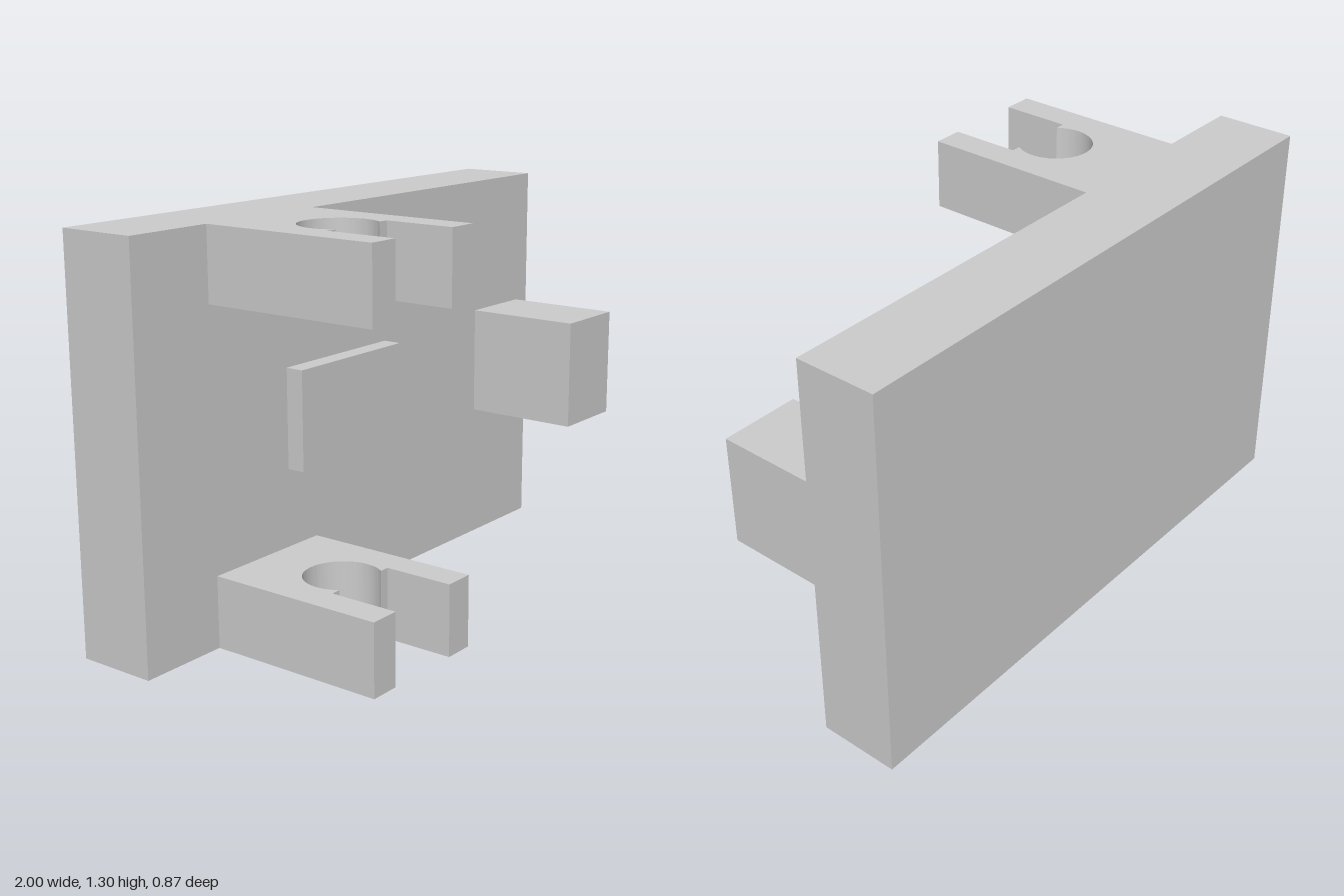
import * as THREE from 'three';
import { toCreasedNormals } from 'three/addons/utils/BufferGeometryUtils.js';

const BACK = -0.433, FACE = -0.167, FRONT = 0.433, HEIGHT = 1.3;

export function createModel() {
  const group = new THREE.Group();
  const material = new THREE.MeshStandardMaterial({ color: 0xcccccc });

  function add(name, geometry) {
    const mesh = new THREE.Mesh(geometry, material);
    mesh.name = name;
    group.add(mesh);
    return mesh;
  }

  // Box given by its limits on each axis
  function box(name, [x0, x1], [y0, y1], [z0, z1]) {
    add(name, new THREE.BoxGeometry(x1 - x0, y1 - y0, z1 - z0))
      .position.set((x0 + x1) / 2, (y0 + y1) / 2, (z0 + z1) / 2);
  }

  box('backPlate', [-1, 1], [0, HEIGHT], [BACK, FACE]);
  box('raisedPad', [-0.367, 0.13], [0.49, 0.817], [FACE, -0.105]);
  box('sideBlock', [0.663, 0.932], [0.468, 0.837], [FACE, 0.233]);

  // Clip outline seen from above (shape y = -z): round seat with a wider slot to the front
  const cx = -0.468, cz = 0.13, radius = 0.122, slotZ = 0.2;
  const outer = 0.233, slot = 0.133;
  const lip = Math.asin((slotZ - cz) / radius);
  const outline = new THREE.Shape();
  outline.moveTo(cx - outer, -FACE);
  outline.lineTo(cx - outer, -FRONT);
  outline.lineTo(cx - slot, -FRONT);
  outline.lineTo(cx - slot, -slotZ);
  outline.absarc(cx, -cz, radius, Math.PI + lip, -lip, true);
  outline.lineTo(cx + slot, -slotZ);
  outline.lineTo(cx + slot, -FRONT);
  outline.lineTo(cx + outer, -FRONT);
  outline.lineTo(cx + outer, -FACE);
  outline.closePath();

  const clipHeight = 0.233;
  const clip = toCreasedNormals(
    new THREE.ExtrudeGeometry(outline, { depth: clipHeight, bevelEnabled: false, curveSegments: 32 })
      .rotateX(-Math.PI / 2), 0.5);
  add('lowerClip', clip);
  add('upperClip', clip).position.y = HEIGHT - clipHeight;

  return group;
}
